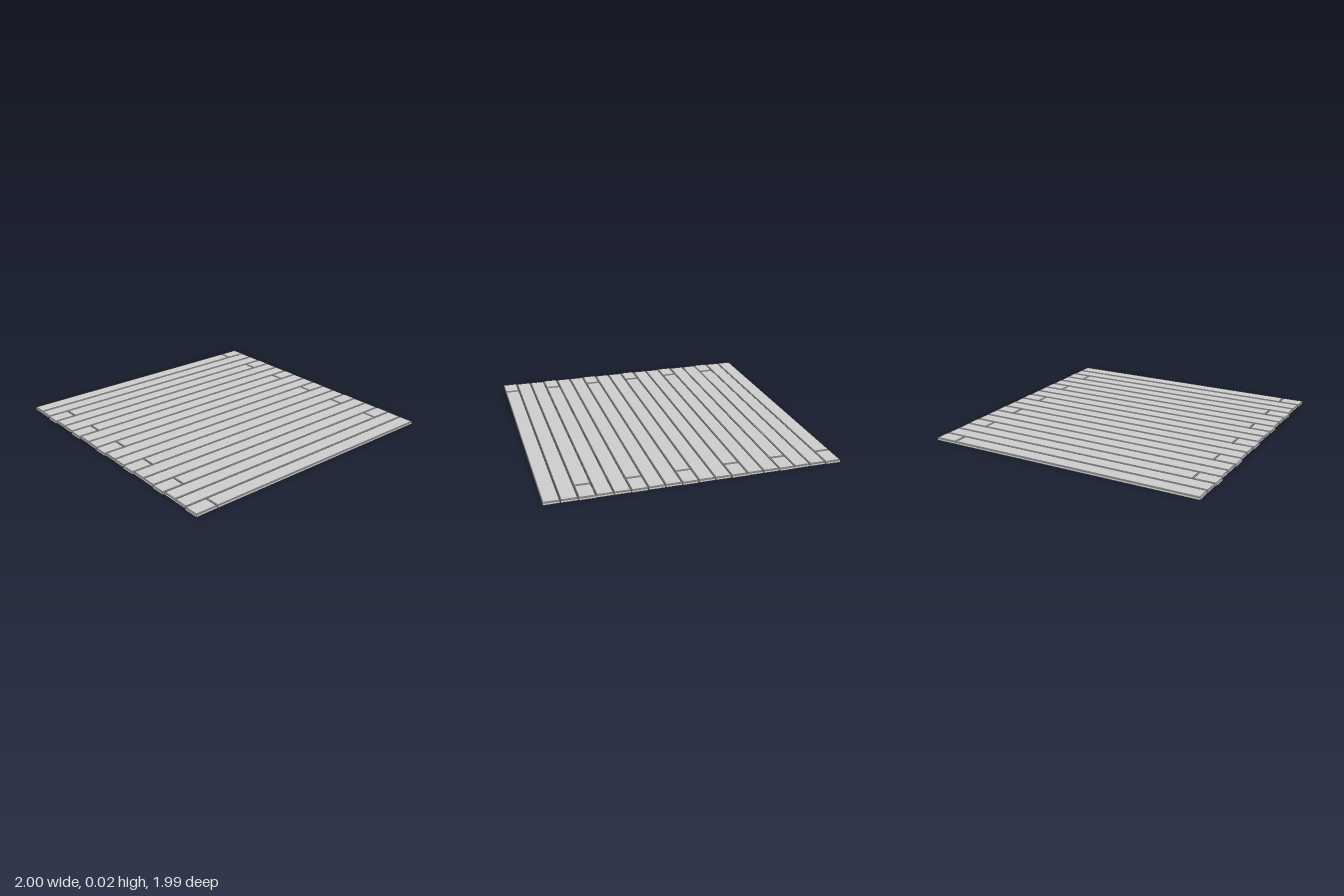
import * as THREE from 'three';

const ROWS = 18, PITCH = 0.1105, GAP = 0.003, HEIGHT = 0.02, BEVEL = 0.004;

const material = new THREE.MeshStandardMaterial({ color: 0xcccccc, flatShading: true });

// Plank from x0 to x1 with a chamfer around its top face
function plank(name, x0, x1, z) {
  const length = x1 - x0, width = PITCH - GAP;
  const geometry = new THREE.BoxGeometry(length, HEIGHT, width, 1, 2, 1);
  const p = geometry.attributes.position;
  for (let i = 0; i < p.count; i++) {
    const y = p.getY(i);
    if (Math.abs(y) < 1e-6) {
      p.setY(i, HEIGHT / 2 - BEVEL);
    } else if (y > 0) {
      p.setX(i, p.getX(i) - Math.sign(p.getX(i)) * BEVEL);
      p.setZ(i, p.getZ(i) - Math.sign(p.getZ(i)) * BEVEL);
    }
  }
  geometry.computeVertexNormals();
  const mesh = new THREE.Mesh(geometry, material);
  mesh.name = name;
  mesh.position.set((x0 + x1) / 2, HEIGHT / 2, z);
  return mesh;
}

export function createModel() {
  const floor = new THREE.Group();
  floor.name = 'plankFloor';
  // Three row layouts repeat: short piece on +x, one full plank, short piece on -x
  const layouts = [
    [[-0.99, 0.84], [0.843, 1]],
    [[-0.992, 0.997]],
    [[-1, -0.842], [-0.839, 0.997]],
  ];
  for (let row = 0; row < ROWS; row++) {
    const z = (row - (ROWS - 1) / 2) * PITCH;
    for (const [x0, x1] of layouts[row % 3]) {
      floor.add(plank(x1 - x0 < 0.5 ? 'shortPlank' : 'longPlank', x0, x1, z));
    }
  }
  return floor;
}
